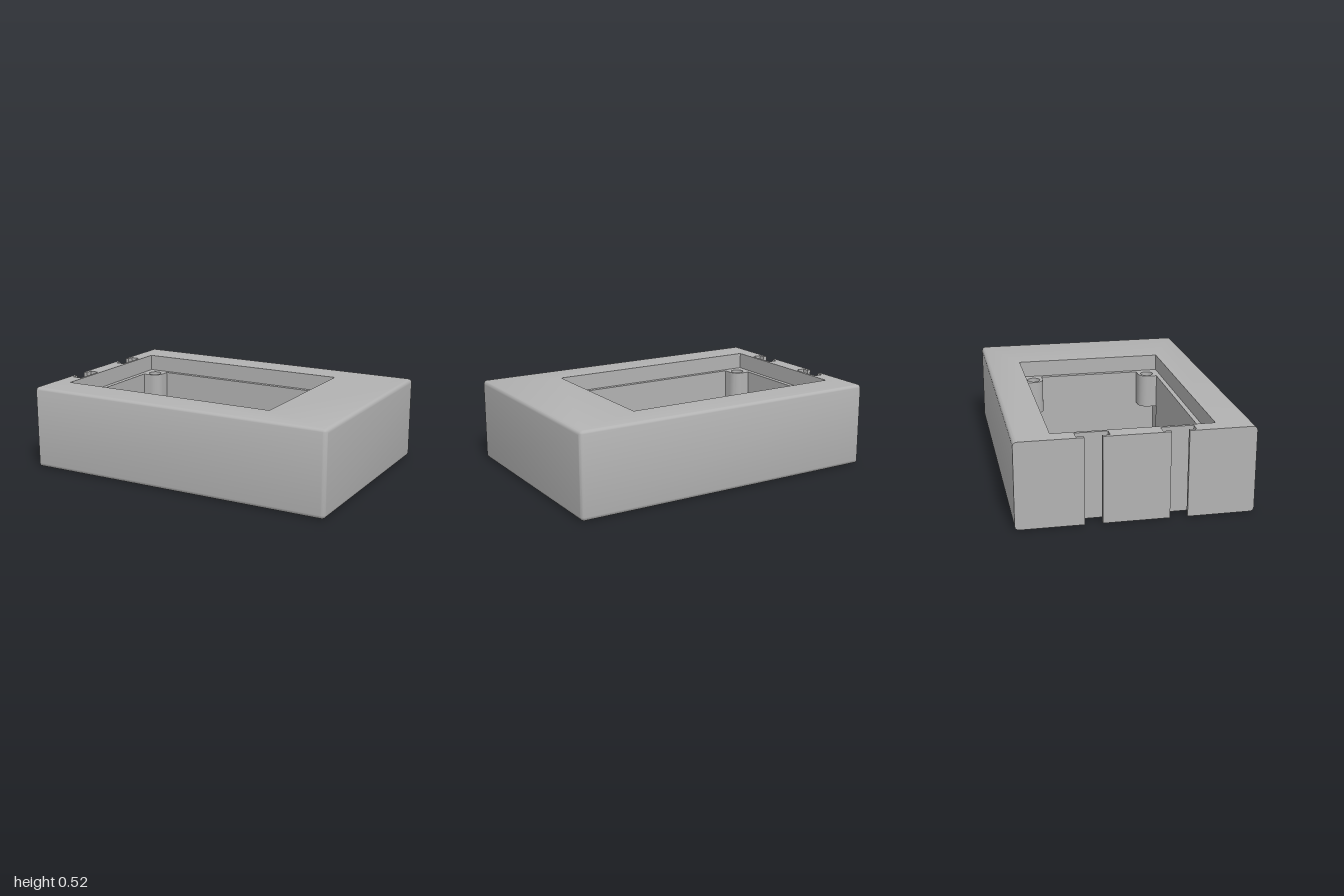
import * as THREE from 'three';
import { mergeGeometries, toCreasedNormals } from 'three/addons/utils/BufferGeometryUtils.js';

const H = 0.525, D = 0.698, R = 0.025;          // body height, half depth, edge radius
const LEDGE = 0.42, POST_Y = 0.2;               // ledge height, underside of the posts
const CX = -0.179, HX = 0.687, HZ = 0.449;      // cavity centre and half sizes
const PX = 0.634, PZ = 0.394, PR = 0.062;       // post offsets and radius
const SIGNS = [[-1, -1], [1, -1], [1, 1], [-1, 1]];

// Outlines are counter-clockwise lists of [x, z]
const rect = (hx, hz) => SIGNS.map(([sx, sz]) => [CX + sx * hx, sz * hz]);

function arc(x, z, r, from, to, n) {
  return Array.from({ length: n + 1 }, (_, i) => {
    const a = from + (to - from) * i / n;
    return [x + r * Math.cos(a), z + r * Math.sin(a)];
  });
}

const circle = (x, z, r) => arc(x, z, r, 0, Math.PI * 2, 28).slice(0, -1);
const reversed = (pts) => pts.slice().reverse();

// Body outline with T-slots in the -x end
function bodyOutline(t) {
  const pts = [[-1, t - D],
    ...arc(1 - R, R - D, R - t, -Math.PI / 2, 0, 5),
    ...arc(1 - R, D - R, R - t, 0, Math.PI / 2, 5),
    [-1, D - t]];
  for (const s of [0.248, -0.248]) {
    const half = [[-1, 0.052], [-0.977, 0.052], [-0.977, 0.097], [-0.917, 0.097]];
    half.forEach(([x, z]) => pts.push([x, s + z]));
    reversed(half).forEach(([x, z]) => pts.push([x, s - z]));
  }
  return pts;
}

// Cavity outline from one corner rule, mirrored to all four corners
function cavity(corner) {
  return SIGNS.flatMap(([sx, sz]) => {
    const pts = corner.map(([x, z]) => [CX + sx * x, sz * z]);
    return sx * sz > 0 ? reversed(pts) : pts;
  });
}

// Vertical strip between two matching outlines, facing outward when counter-clockwise
function strip(a, ya, b, yb) {
  const p = [];
  a.forEach((_, i) => {
    const j = (i + 1) % a.length;
    const a0 = [a[i][0], ya, a[i][1]], b0 = [a[j][0], ya, a[j][1]];
    const a1 = [b[i][0], yb, b[i][1]], b1 = [b[j][0], yb, b[j][1]];
    p.push(...a0, ...a1, ...b0, ...b0, ...a1, ...b1);
  });
  const g = new THREE.BufferGeometry();
  g.setAttribute('position', new THREE.Float32BufferAttribute(p, 3));
  return g;
}

const innerWall = (pts, y0, y1) => strip(reversed(pts), y0, reversed(pts), y1);

// Flat horizontal face with holes
function cap(pts, holes, y, up) {
  const vec = (l) => l.map(([x, z]) => new THREE.Vector2(x, z));
  const shape = new THREE.Shape(vec(pts));
  holes.forEach((h) => shape.holes.push(new THREE.Path(vec(h))));
  const g = new THREE.ShapeGeometry(shape);
  if (up) {
    const ix = g.index.array;
    for (let i = 0; i < ix.length; i += 3) [ix[i], ix[i + 1]] = [ix[i + 1], ix[i]];
  }
  g.rotateX(Math.PI / 2).translate(0, y, 0);
  const flat = g.toNonIndexed();
  flat.deleteAttribute('uv');
  flat.deleteAttribute('normal');
  return flat;
}

export function createModel() {
  const group = new THREE.Group();
  const grey = new THREE.MeshStandardMaterial({ color: 0xb2b2b2 });
  grey.name = 'light grey';
  const add = (name, parts) => {
    const mesh = new THREE.Mesh(toCreasedNormals(mergeGeometries(parts), 0.6), grey);
    mesh.name = name;
    group.add(mesh);
  };

  const recess = rect(0.719, 0.478);
  const upper = cavity([[PX - PR, HZ],
    ...arc(PX, PZ, PR, Math.PI, Math.PI * 1.5, 10), [HX, PZ - PR]]);
  const lower = cavity([[PX - PR, HZ], [PX - PR, PZ + PR], [PX + PR, PZ + PR],
    [PX + PR, PZ - PR], [HX, PZ - PR]]);
  const posts = SIGNS.map(([sx, sz]) => [CX + sx * PX, sz * PZ, sx, sz]);
  const footHoles = [-0.58, 0.58].map((z) => circle(-0.818, z, 0.03));

  // Outer shell with rounded edges, top and underside
  const levels = [];
  for (let i = 0; i <= 5; i++) {
    const a = Math.PI / 2 * i / 5;
    levels.push([R * (1 - Math.sin(a)), R * (1 - Math.cos(a))]);
  }
  const profile = [...levels, ...reversed(levels).map(([t, y]) => [t, H - y])];
  const shell = [];
  for (let i = 0; i < profile.length - 1; i++) {
    const [t0, y0] = profile[i], [t1, y1] = profile[i + 1];
    shell.push(strip(bodyOutline(t0), y0, bodyOutline(t1), y1));
  }
  shell.push(cap(bodyOutline(R), [recess], H, true));
  shell.push(cap(bodyOutline(R), [lower, ...footHoles], 0, false));
  add('outerShell', shell);

  // Stepped rim under the top face
  add('recessRim', [
    innerWall(recess, LEDGE, H),
    cap(recess, [upper, ...posts.map(([x, z]) => circle(x, z, 0.042))], LEDGE, true)]);

  // Cavity walls, with the post fronts above and corner pockets below
  add('cavityWalls', [innerWall(upper, POST_Y, LEDGE), innerWall(lower, 0, POST_Y)]);

  // Stepped screw bores and post undersides
  for (const [x, z, sx, sz] of posts) {
    const wide = circle(x, z, 0.042), bore = circle(x, z, 0.023), step = LEDGE - 0.06;
    const foot = [[PR, PR], [-PR, PR],
      ...arc(0, 0, PR, Math.PI, Math.PI * 1.5, 10), [PR, -PR]]
      .map(([u, v]) => [x + sx * u, z + sz * v]);
    add('screwPost', [
      innerWall(wide, step, LEDGE), cap(wide, [bore], step, true),
      innerWall(bore, POST_Y, step), cap(foot, [bore], POST_Y, false)]);
  }

  // Blind holes in the underside
  for (const hole of footHoles) {
    add('blindHole', [innerWall(hole, 0, 0.12), cap(hole, [], 0.12, false)]);
  }
  return group;
}
